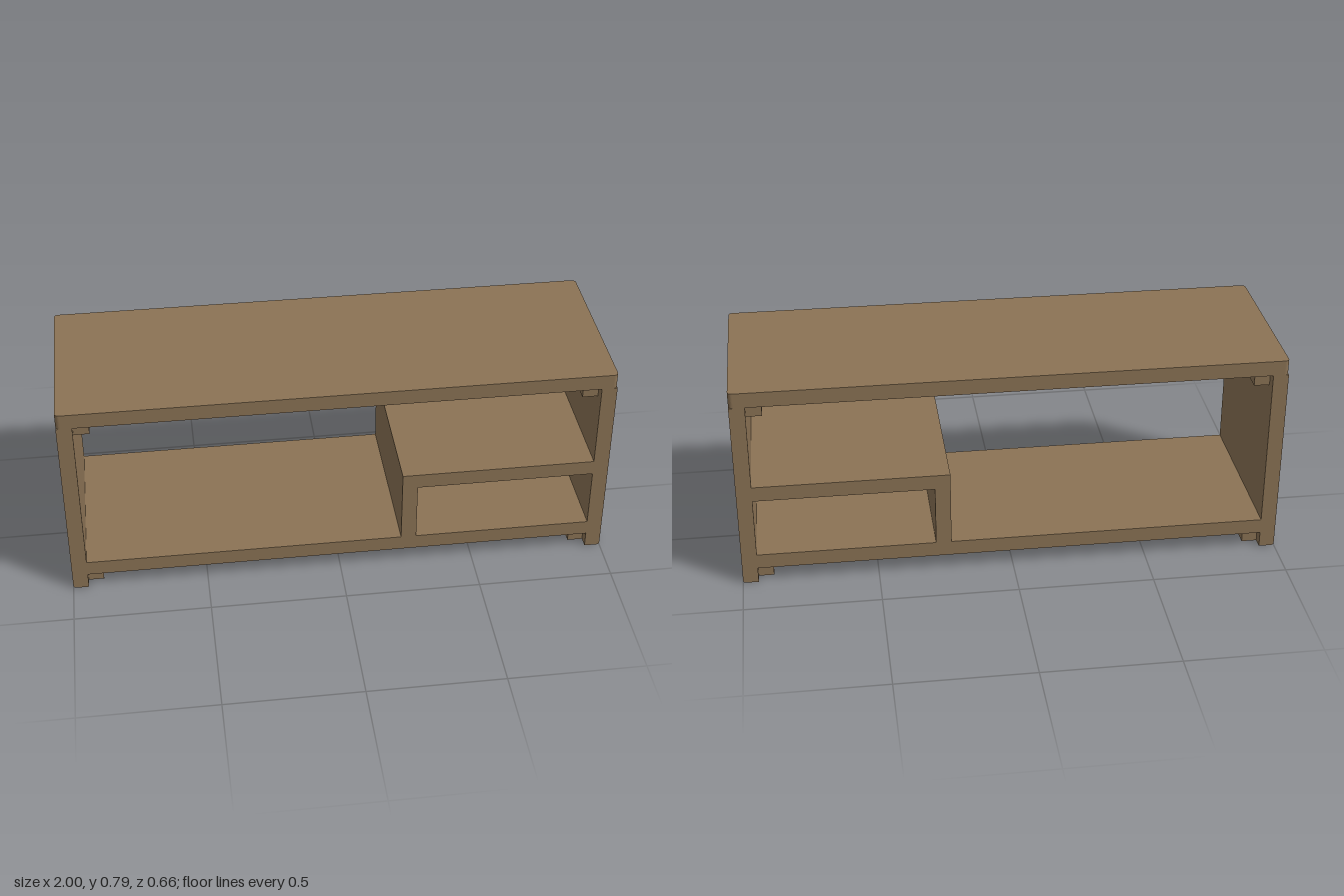
import * as THREE from 'three';

export function createModel() {
  const group = new THREE.Group();
  const wood = new THREE.MeshStandardMaterial({ color: 0x8b7355 });
  wood.name = 'brown wood';

  const depth = 0.656, t = 0.057, height = 0.785;
  const inner = 1 - t;

  const add = (name, geometry) => {
    const mesh = new THREE.Mesh(geometry, wood);
    mesh.name = name;
    group.add(mesh);
    return mesh;
  };
  // Board given by its x and y limits, centred in z
  const board = (name, x0, x1, y0, y1, d = depth) =>
    add(name, new THREE.BoxGeometry(x1 - x0, y1 - y0, d))
      .position.set((x0 + x1) / 2, (y0 + y1) / 2, 0);

  // Top board with slightly rounded corners in plan
  const r = 0.016, w = 1, h = depth / 2;
  const plan = new THREE.Shape();
  plan.moveTo(-w + r, -h);
  plan.lineTo(w - r, -h);
  plan.absarc(w - r, -h + r, r, -Math.PI / 2, 0);
  plan.absarc(w - r, h - r, r, 0, Math.PI / 2);
  plan.absarc(-w + r, h - r, r, Math.PI / 2, Math.PI);
  plan.absarc(-w + r, -h + r, r, Math.PI, Math.PI * 1.5);
  const top = new THREE.ExtrudeGeometry(plan, { depth: t, bevelEnabled: false, curveSegments: 4 });
  top.rotateX(-Math.PI / 2);
  add('topBoard', top).position.y = height - t;

  // Side panels with the outer bottom edge eased, and their cleats
  for (const [side, s] of [['left', 1], ['right', -1]]) {
    const e = 0.01;
    const section = new THREE.Shape();
    section.moveTo(s * inner, 0);
    section.lineTo(s * (1 - e), 0);
    section.quadraticCurveTo(s, 0, s, e);
    section.lineTo(s, height - t);
    section.lineTo(s * inner, height - t);
    const panel = new THREE.ExtrudeGeometry(section, { depth, bevelEnabled: false, curveSegments: 3 });
    panel.translate(0, 0, -depth / 2);
    add(side + 'Panel', panel);

    const x0 = s > 0 ? inner - t : -inner;
    board(side + 'LowerCleat', x0, x0 + t, 0, 0.06, depth - 0.08);
    board(side + 'UpperCleat', x0, x0 + t, height - 2 * t, height - t, depth - 0.08);
  }

  // Bottom board and the raised shelf on its divider
  board('bottomBoard', -inner, inner, 0.06, 0.117);
  board('divider', 0.229, 0.286, 0.117, 0.346);
  board('shelf', 0.229, inner, 0.346, 0.403);

  return group;
}
